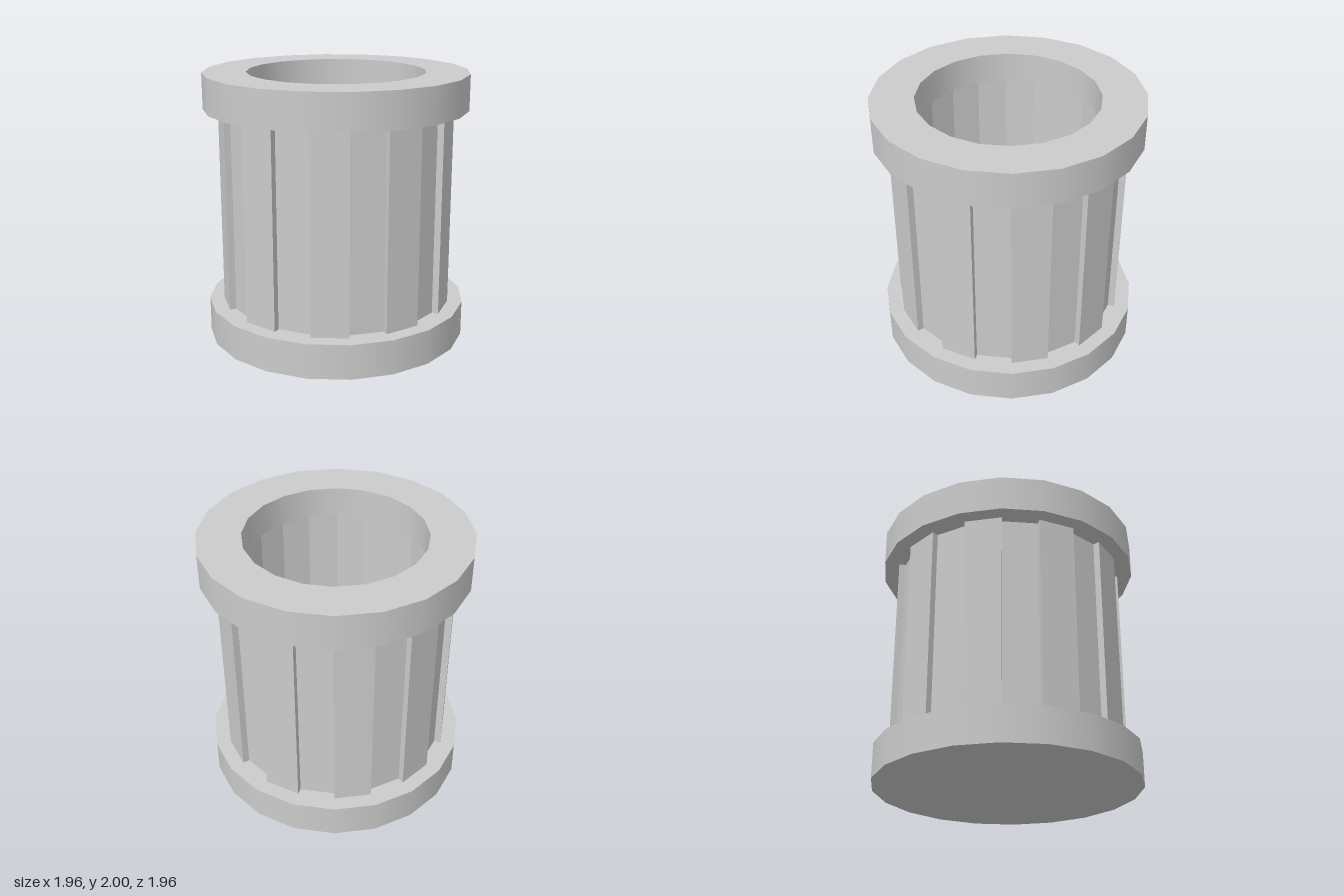
import * as THREE from 'three';
import { mergeGeometries } from 'three/addons/utils/BufferGeometryUtils.js';

const SIDES = 20;
const STEP = (Math.PI * 2) / SIDES;
const material = new THREE.MeshStandardMaterial({ color: 0xcccccc });

// Turned part: smooth around the axis, sharp at every profile corner
function turned(name, profile) {
  const bands = [];
  for (let i = 0; i < profile.length - 1; i++) {
    const pair = [profile[i], profile[i + 1]].map(([r, y]) => new THREE.Vector2(r, y));
    bands.push(new THREE.LatheGeometry(pair, SIDES));
  }
  const mesh = new THREE.Mesh(mergeGeometries(bands), material);
  mesh.name = name;
  return mesh;
}

// Point on a circle, measured from the front (+z) towards +x
const polar = (r, a) => new THREE.Vector2(r * Math.sin(a), -r * Math.cos(a));

// Hollow drum whose panels alternate between recessed and raised
function panelledBody(bottom, top) {
  const outline = [];
  const bore = [];
  for (let i = 0; i < SIDES; i++) {
    const r = i % 2 ? 0.87 : 0.82;
    outline.push(polar(r, i * STEP), polar(r, (i + 1) * STEP));
    bore.push(polar(0.7, i * STEP));
  }
  const shape = new THREE.Shape(outline);
  shape.holes.push(new THREE.Path(bore));
  const geometry = new THREE.ExtrudeGeometry(shape, { depth: top - bottom, bevelEnabled: false });
  geometry.rotateX(-Math.PI / 2).translate(0, bottom, 0);
  const mesh = new THREE.Mesh(geometry, material);
  mesh.name = 'panelledBody';
  return mesh;
}

export function createModel() {
  const model = new THREE.Group();
  model.name = 'panelledDrum';

  // Solid base disc, its top also the floor of the bore
  model.add(turned('baseFlange', [[0, 0], [0.98, 0], [0.98, 0.26], [0, 0.26]]));

  model.add(panelledBody(0.25, 1.77));

  // Top ring with a lip slightly narrower than the bore
  model.add(turned('topRim', [
    [0.78, 1.735], [0.98, 1.735], [0.98, 2], [0.66, 2], [0.66, 1.77], [0.78, 1.77],
  ]));

  return model;
}
